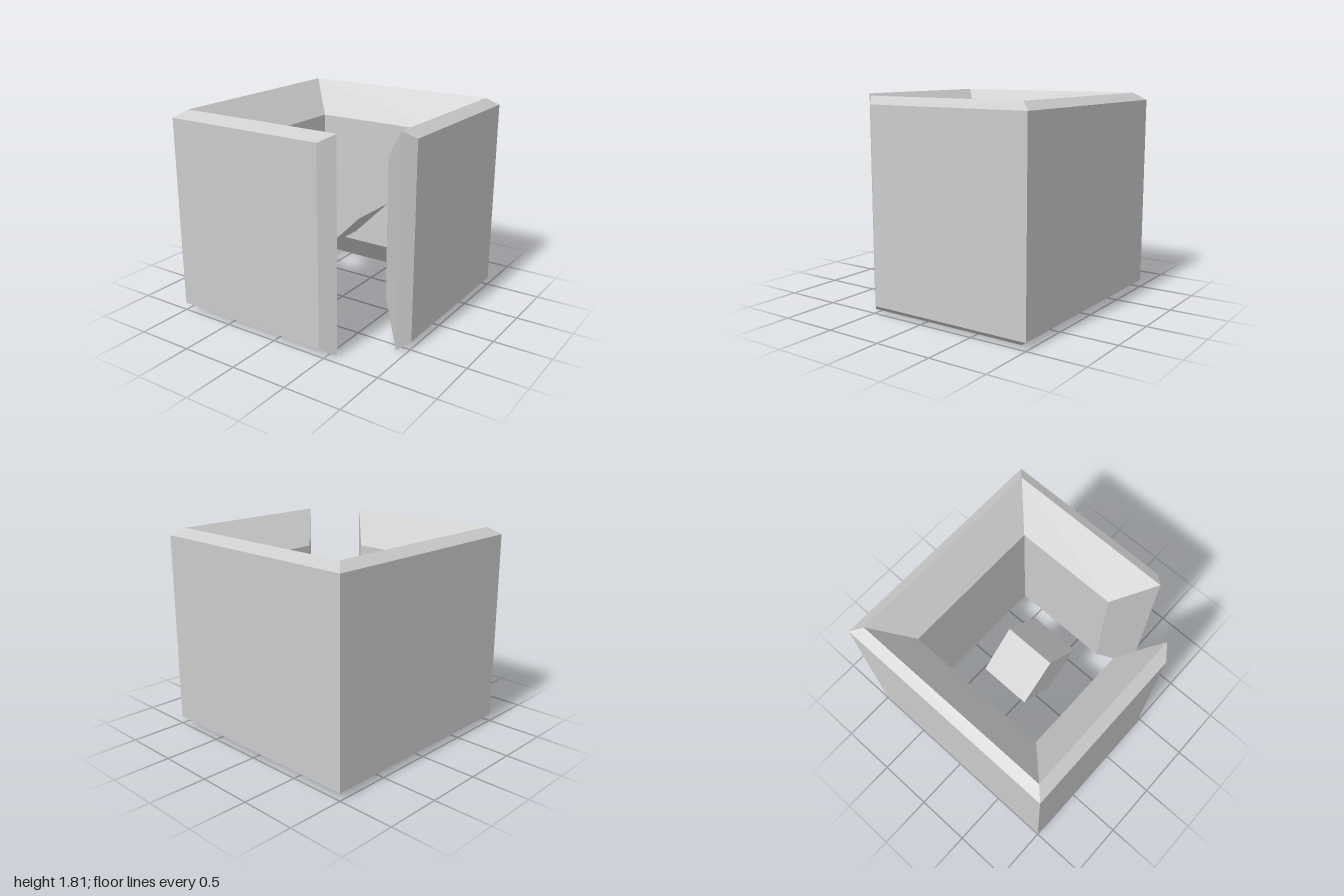
import * as THREE from 'three';

// Wall section, as [distance from centre, height, front wall end x, right wall end z]
const SECTION = [
  [1, 0.065, 0.455, 0.485],
  [1, 1.742, 0.455, 0.485],
  [0.908, 1.806, 0.567, 0.57],
  [0.64, 1.515, 0.295, 0.295],
  [0.64, 0.292, 0.295, 0.295],
  [0.908, 0, 0.567, 0.57],
];

// Sweep the section round the square, leaving the front corner on +x open
function wallGeometry() {
  const rings = [
    SECTION.map(([r, y, end]) => [end, y, r]),
    SECTION.map(([r, y]) => [-r, y, r]),
    SECTION.map(([r, y]) => [-r, y, -r]),
    SECTION.map(([r, y]) => [r, y, -r]),
    SECTION.map(([r, y, , end]) => [r, y, end]),
  ];
  const positions = [];
  const quad = (a, b, c, d) => positions.push(...a, ...b, ...c, ...a, ...c, ...d);
  const n = SECTION.length;

  for (let j = 0; j < rings.length - 1; j++) {
    for (let i = 0; i < n; i++) {
      const k = (i + 1) % n;
      quad(rings[j][i], rings[j][k], rings[j + 1][k], rings[j + 1][i]);
    }
  }

  // Two-plane caps on the pointed wall ends
  const s = rings[0], e = rings[rings.length - 1];
  quad(s[5], s[2], s[1], s[0]);
  quad(s[4], s[3], s[2], s[5]);
  quad(e[0], e[1], e[2], e[5]);
  quad(e[5], e[2], e[3], e[4]);

  const geometry = new THREE.BufferGeometry();
  geometry.setAttribute('position', new THREE.Float32BufferAttribute(positions, 3));
  geometry.computeVertexNormals();
  return geometry;
}

export function createModel() {
  const group = new THREE.Group();
  const material = new THREE.MeshStandardMaterial({ color: 0xcccccc, flatShading: true });

  const walls = new THREE.Mesh(wallGeometry(), material);
  walls.name = 'bevelledWalls';
  group.add(walls);

  // Floating cube standing on its edge
  const cube = new THREE.Mesh(new THREE.BoxGeometry(0.465, 0.465, 0.465), material);
  cube.name = 'centreCube';
  cube.position.set(0, 0.905, 0);
  cube.rotation.z = Math.PI / 4;
  group.add(cube);

  return group;
}
